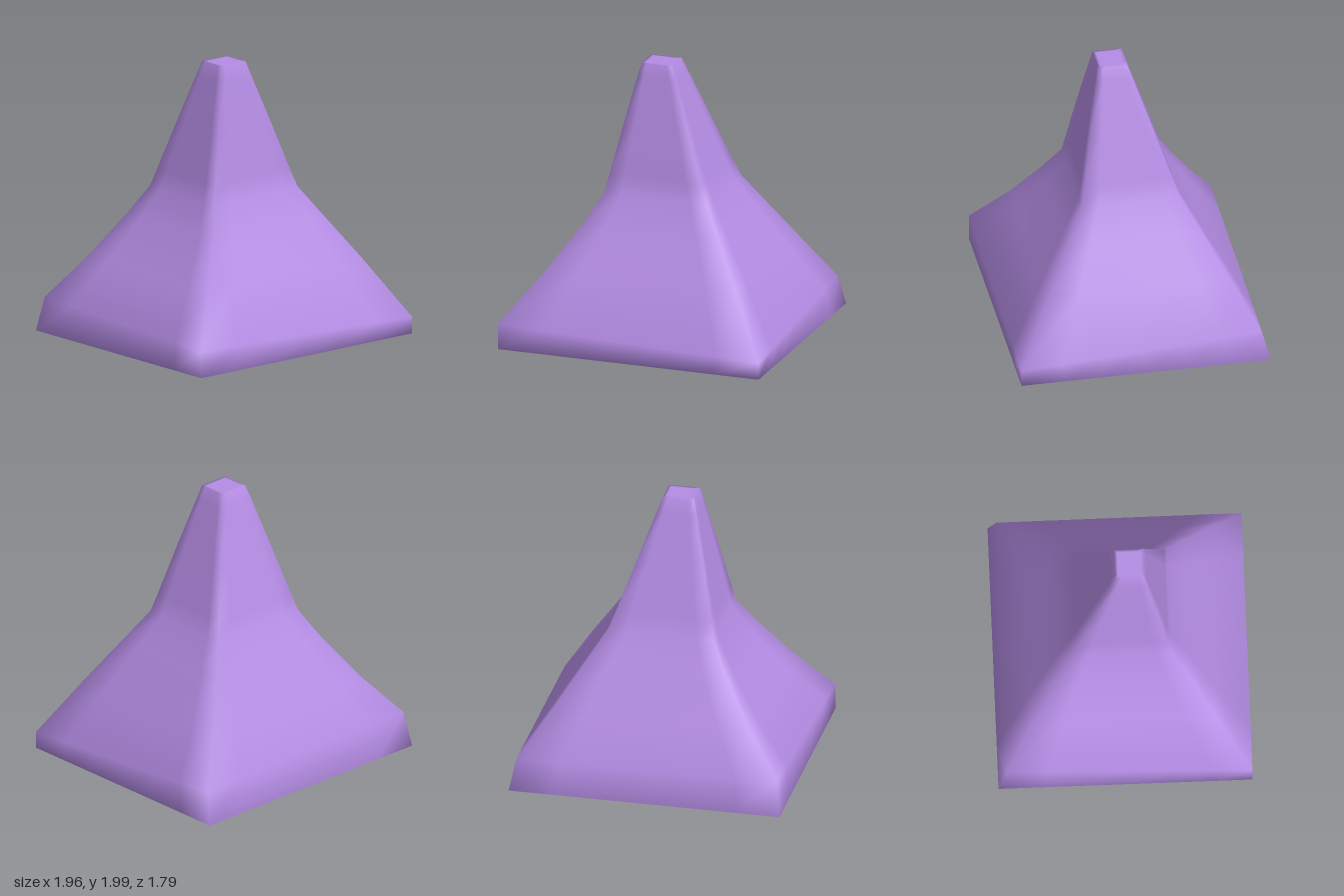
import * as THREE from 'three';

const SEG = 6; // divisions along each side of a ring

// Four corners, counter-clockwise from above, starting at front left (+x, +z)
const rect = (y, x0, x1, z0, z1) => [[x1, y, z1], [x1, y, z0], [x0, y, z0], [x0, y, z1]];

// Closed skin through a stack of four-cornered rings, smooth-shaded
function loft(rings) {
  const pos = [], idx = [], n = 4 * SEG;
  for (const ring of rings) {
    for (let i = 0; i < n; i++) {
      const side = Math.floor(i / SEG), t = (i % SEG) / SEG;
      const a = ring[side], b = ring[(side + 1) % 4];
      pos.push(...a.map((v, k) => v + (b[k] - v) * t));
    }
  }
  for (let r = 0; r < rings.length - 1; r++) {
    for (let i = 0; i < n; i++) {
      const a = r * n + i, b = r * n + (i + 1) % n;
      idx.push(a, b, b + n, a, b + n, a + n);
    }
  }
  const geo = new THREE.BufferGeometry();
  geo.setAttribute('position', new THREE.Float32BufferAttribute(pos, 3));
  geo.setIndex(idx);
  geo.computeVertexNormals();
  return geo;
}

export function createModel() {
  const group = new THREE.Group();
  group.name = 'flaredSpire';

  const geo = loft([
    // underside, from the middle outwards
    rect(0.01, 0, 0, 0, 0),
    rect(0.01, -0.9, 0.9, -0.81, 0.82),
    rect(0.01, -0.98, 0.975, -0.89, 0.9),
    // uneven upper edge of the base rim
    [[0.975, 0.13, 0.9], [0.935, 0.23, -0.83], [-0.95, 0.26, -0.83], [-0.98, 0.2, 0.9]],
    // flared lower slope
    rect(0.55, -0.71, 0.72, -0.65, 0.66),
    rect(0.86, -0.5, 0.52, -0.47, 0.475),
    // waist and steep upper tower
    rect(1.07, -0.385, 0.385, -0.35, 0.35),
    rect(1.2, -0.355, 0.335, -0.305, 0.325),
    rect(1.53, -0.28, 0.22, -0.195, 0.265),
    rect(1.9, -0.195, 0.09, -0.07, 0.19),
    // small flat top
    rect(2, -0.17, 0.055, -0.035, 0.17),
    rect(2, -0.15, 0.035, -0.015, 0.15),
    rect(2, -0.06, -0.06, 0.07, 0.07),
  ]);
  const spire = new THREE.Mesh(geo, new THREE.MeshStandardMaterial({ color: 0xb48ce4 }));
  spire.name = 'spire';
  group.add(spire);
  return group;
}
